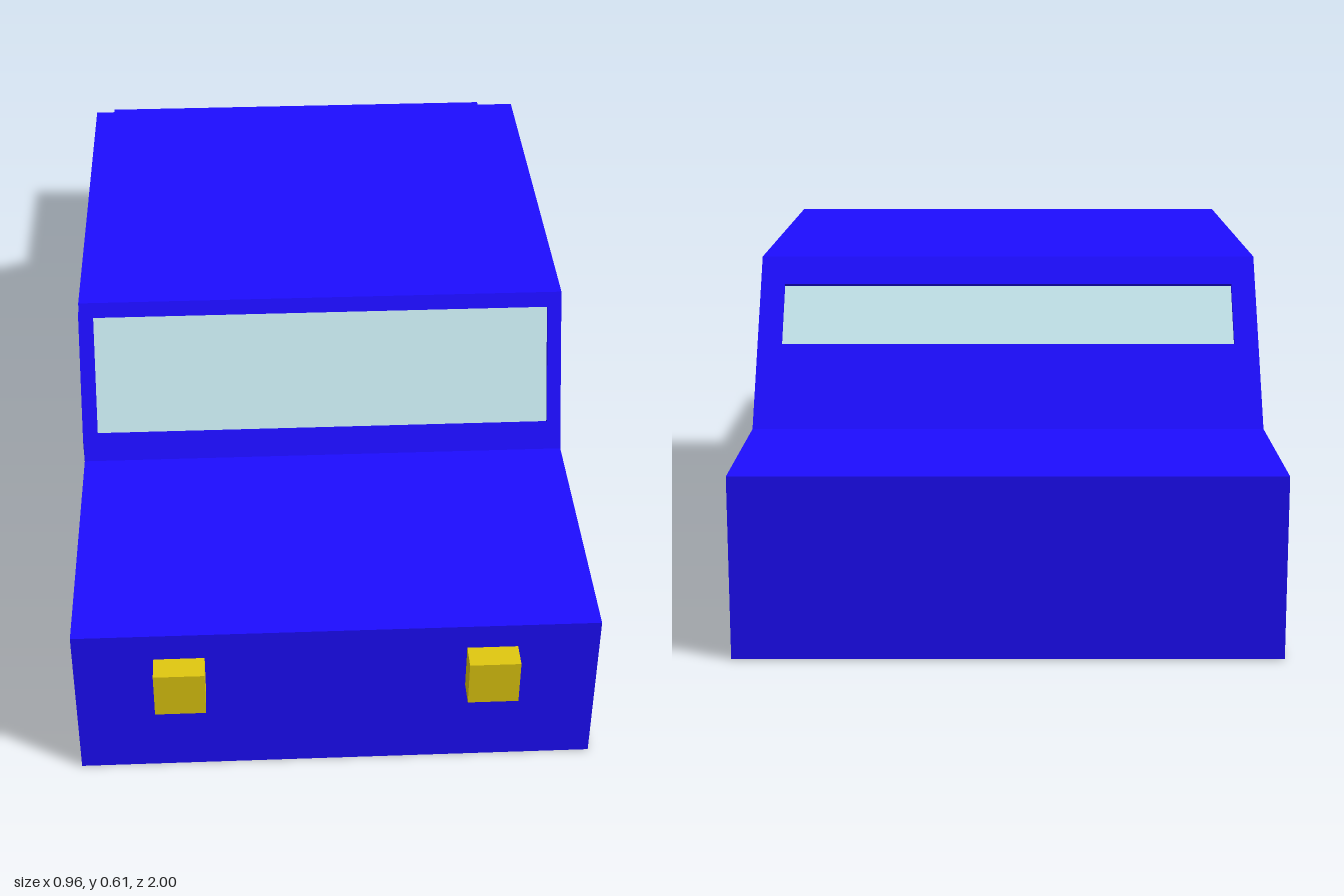
import * as THREE from 'three';

const paint = new THREE.MeshStandardMaterial({ color: 0x1d0dff, flatShading: true });
const glass = new THREE.MeshStandardMaterial({ color: 0xc8eaf0, flatShading: true });
const lamp = new THREE.MeshStandardMaterial({ color: 0xe0c810, flatShading: true });

const HALF = 0.47;    // half width of the body
const RECESS = 0.01;  // how deep the front and rear glass sits
const toShape = pts => new THREE.Shape(pts.map(p => new THREE.Vector2(...p)));
const rect = (w, y0, y1) => [[-w, y0], [w, y0], [w, y1], [-w, y1]];

function mesh(name, geometry, material) {
  const m = new THREE.Mesh(geometry, material);
  m.name = name;
  return m;
}

// Extrudes a (z, y) side profile across x, from xMin to xMax
function sideExtrude(shape, xMin, xMax) {
  const g = new THREE.ExtrudeGeometry(shape, { depth: xMax - xMin, bevelEnabled: false });
  return g.rotateY(-Math.PI / 2).translate(xMax, 0, 0);
}

// Sloped window panel from base to top (z, y), with glass recessed in its opening
function slopedWindow(name, base, top, halfGlass, y0, y1) {
  const facing = base[0] > top[0] ? 1 : -1;
  const u = new THREE.Vector3(facing, 0, 0);
  const v = new THREE.Vector3(0, top[1] - base[1], top[0] - base[0]);
  const length = v.length();
  v.normalize();
  const n = u.clone().cross(v);
  const along = y => (y - base[1]) / v.y;

  const opening = rect(halfGlass, along(y0), along(y1));
  const shape = toShape(rect(HALF, 0, length));
  shape.holes.push(toShape(opening));
  const frame = new THREE.ExtrudeGeometry(shape, { depth: RECESS, bevelEnabled: false });
  frame.translate(0, 0, -RECESS);
  const pane = new THREE.ShapeGeometry(toShape(opening)).translate(0, 0, -RECESS * 0.8);

  const group = new THREE.Group();
  group.name = name;
  group.add(mesh(name + 'Frame', frame, paint), mesh(name + 'Glass', pane, glass));
  group.applyMatrix4(new THREE.Matrix4().makeBasis(u, v, n).setPosition(0, base[1], base[0]));

  // The same slope moved inwards, so the body leaves room for the panel
  const inner = p => [p[0] - n.z * RECESS, p[1] - n.y * RECESS];
  return { group, seat: [base, inner(base), inner(top), top] };
}

// Door plate with a glazed opening, on one side of the body
function door(name, outline, opening, side) {
  const shape = toShape(outline);
  shape.holes.push(toShape(opening));
  const slab = (s, t) => side > 0 ? sideExtrude(s, HALF, HALF + t) : sideExtrude(s, -HALF - t, -HALF);
  const group = new THREE.Group();
  group.name = name;
  group.add(mesh(name + 'Panel', slab(shape, 0.008), paint));
  group.add(mesh(name + 'Glass', slab(toShape(opening), 0.004), glass));
  return group;
}

export function createModel() {
  const car = new THREE.Group();
  car.name = 'car';

  // Windscreen and rear window
  const front = slopedWindow('windscreen', [0.455, 0.32], [0.33, 0.61], 0.443, 0.37, 0.583);
  const rear = slopedWindow('rearWindow', [-0.655, 0.32], [-0.445, 0.61], 0.425, 0.46, 0.562);
  car.add(front.group, rear.group);

  // Body: bonnet, cabin, tail and two wheel arches in one side profile
  const profile = [
    [0.955, 0], [0.955, 0.32], ...front.seat, ...rear.seat.reverse(),
    [-1, 0.32], [-1, 0],
    [-0.818, 0], [-0.775, 0.117], [-0.617, 0.112], [-0.583, 0],
    [0.482, 0], [0.517, 0.112], [0.677, 0.117], [0.715, 0],
  ];
  car.add(mesh('body', sideExtrude(toShape(profile), -HALF, HALF), paint));

  // Doors on both sides
  const rearOutline = [[-0.095, 0.025], [-0.095, 0.545], [-0.385, 0.545], [-0.492, 0.31], [-0.492, 0.025]];
  const rearOpening = [[-0.12, 0.28], [-0.12, 0.52], [-0.367, 0.52], [-0.477, 0.28]];
  const frontOutline = [[-0.02, 0.025], [-0.02, 0.545], [0.273, 0.545], [0.38, 0.31], [0.38, 0.025]];
  const frontOpening = [[0.006, 0.28], [0.006, 0.52], [0.255, 0.52], [0.366, 0.28]];
  for (const side of [1, -1]) {
    const label = side > 0 ? 'left' : 'right';
    car.add(door(label + 'FrontDoor', frontOutline, frontOpening, side));
    car.add(door(label + 'RearDoor', rearOutline, rearOpening, side));
  }

  // Square headlights
  for (const [name, x, y] of [['leftHeadlight', 0.278, 0.224], ['rightHeadlight', -0.281, 0.219]]) {
    const light = mesh(name, new THREE.BoxGeometry(0.091, 0.091, 0.06), lamp);
    light.position.set(x, y, 0.97);
    car.add(light);
  }
  return car;
}
